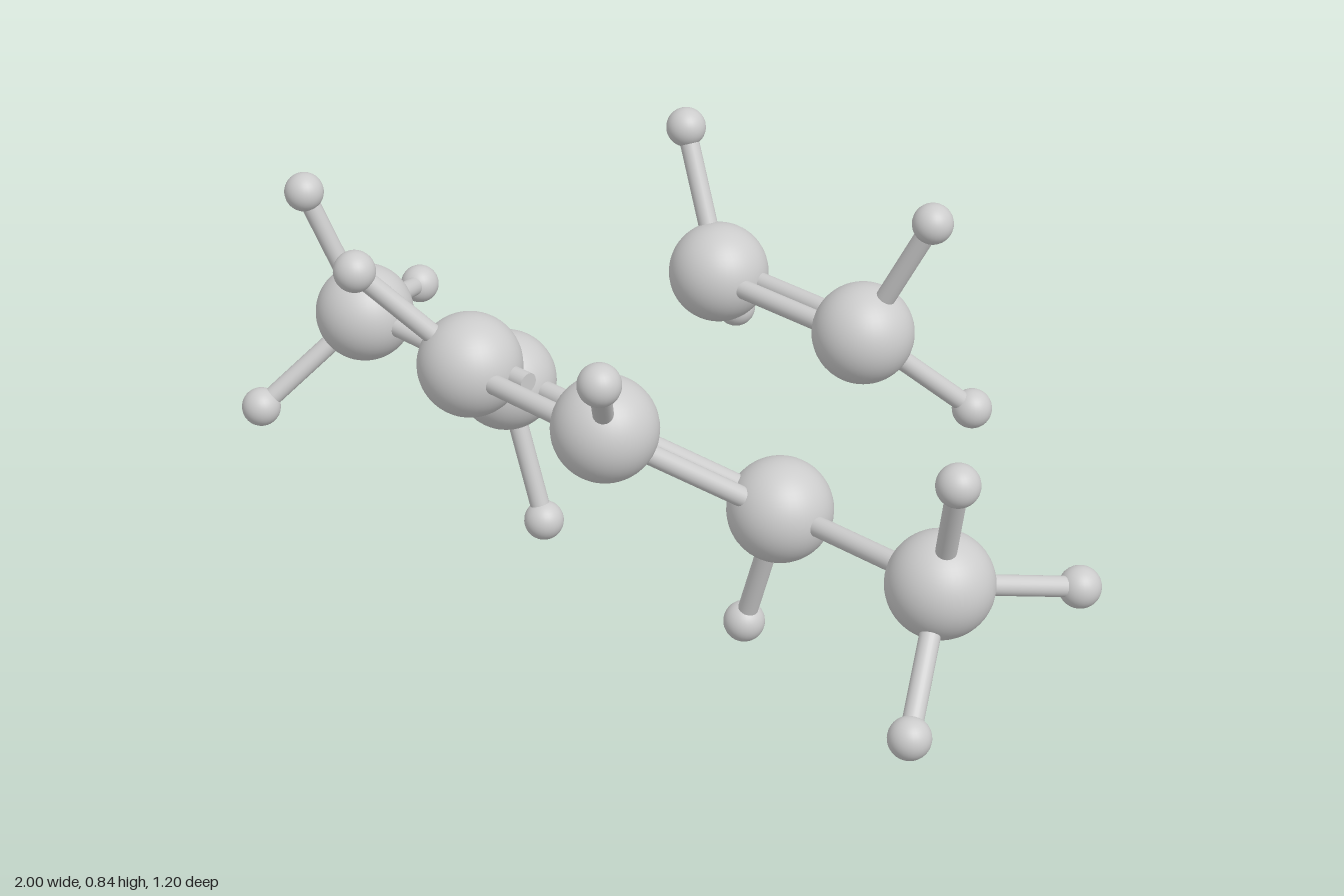
import * as THREE from 'three';

const material = new THREE.MeshStandardMaterial({ color: 0xcccccc });
const bigBall = new THREE.SphereGeometry(0.108, 40, 28);
const smallBall = new THREE.SphereGeometry(0.043, 28, 20);
const ROD = 0.021;   // rod radius
const SPLIT = 0.026; // sideways shift of each rod in a pair
const UP = new THREE.Vector3(0, 1, 0);

// Atom positions on the +x side; the other side is mirrored
const carbons = {
  innerCarbon: [0.193, 0.572, 0.393],
  outerCarbon: [0.397, 0.352, 0.105],
  endCarbon: [0.83, 0.368, 0.123],
  rearCarbon: [0.208, 0.511, -0.354],
};
const hydrogens = [
  ['innerCarbon', [0.345, 0.787, 0.557]],
  ['outerCarbon', [0.296, 0.043, 0.098]],
  ['endCarbon', [0.925, 0.654, 0.199]],
  ['endCarbon', [0.957, 0.295, -0.153]],
  ['endCarbon', [0.945, 0.17, 0.337]],
  ['rearCarbon', [0.345, 0.304, -0.557]],
  ['rearCarbon', [0.349, 0.795, -0.398]],
];

export function createModel() {
  const model = new THREE.Group();
  model.name = 'molecule';

  const ball = (name, geometry, position) => {
    const mesh = new THREE.Mesh(geometry, material);
    mesh.name = name;
    mesh.position.copy(position);
    model.add(mesh);
  };

  const rod = (name, a, b) => {
    const dir = b.clone().sub(a);
    const mesh = new THREE.Mesh(new THREE.CylinderGeometry(ROD, ROD, dir.length(), 24), material);
    mesh.name = name;
    mesh.position.copy(a).add(b).multiplyScalar(0.5);
    mesh.quaternion.setFromUnitVectors(UP, dir.normalize());
    model.add(mesh);
  };

  // Two parallel rods, side by side horizontally
  const doubleRod = (name, a, b) => {
    const side = b.clone().sub(a).cross(UP).setLength(SPLIT);
    for (const s of [-1, 1]) {
      const shift = side.clone().multiplyScalar(s);
      rod(name, a.clone().add(shift), b.clone().add(shift));
    }
  };

  const at = (p, side) => new THREE.Vector3(p[0] * side, p[1], p[2]);

  for (const side of [1, -1]) {
    const prefix = side > 0 ? 'left ' : 'right ';
    const c = {};
    for (const [name, p] of Object.entries(carbons)) {
      c[name] = at(p, side);
      ball(prefix + name, bigBall, c[name]);
    }
    for (const [parent, p] of hydrogens) {
      const h = at(p, side);
      ball(prefix + 'hydrogen', smallBall, h);
      rod(prefix + 'hydrogenBond', c[parent], h);
    }
    doubleRod(prefix + 'doubleBond', c.innerCarbon, c.outerCarbon);
    rod(prefix + 'singleBond', c.outerCarbon, c.endCarbon);
  }

  // Separate rear pair, joined by a double bond
  doubleRod('rearDoubleBond', at(carbons.rearCarbon, -1), at(carbons.rearCarbon, 1));

  // Middle bond: a solid rod in front and a dashed rod behind it
  const [x, y, z] = carbons.innerCarbon;
  const point = (px, dz) => new THREE.Vector3(px, y, z + dz);
  rod('middleBond', point(-x, SPLIT), point(x, SPLIT));
  for (const centre of [-0.083, 0.034]) {
    rod('middleBondDash', point(centre - 0.033, -SPLIT), point(centre + 0.033, -SPLIT));
  }

  return model;
}
